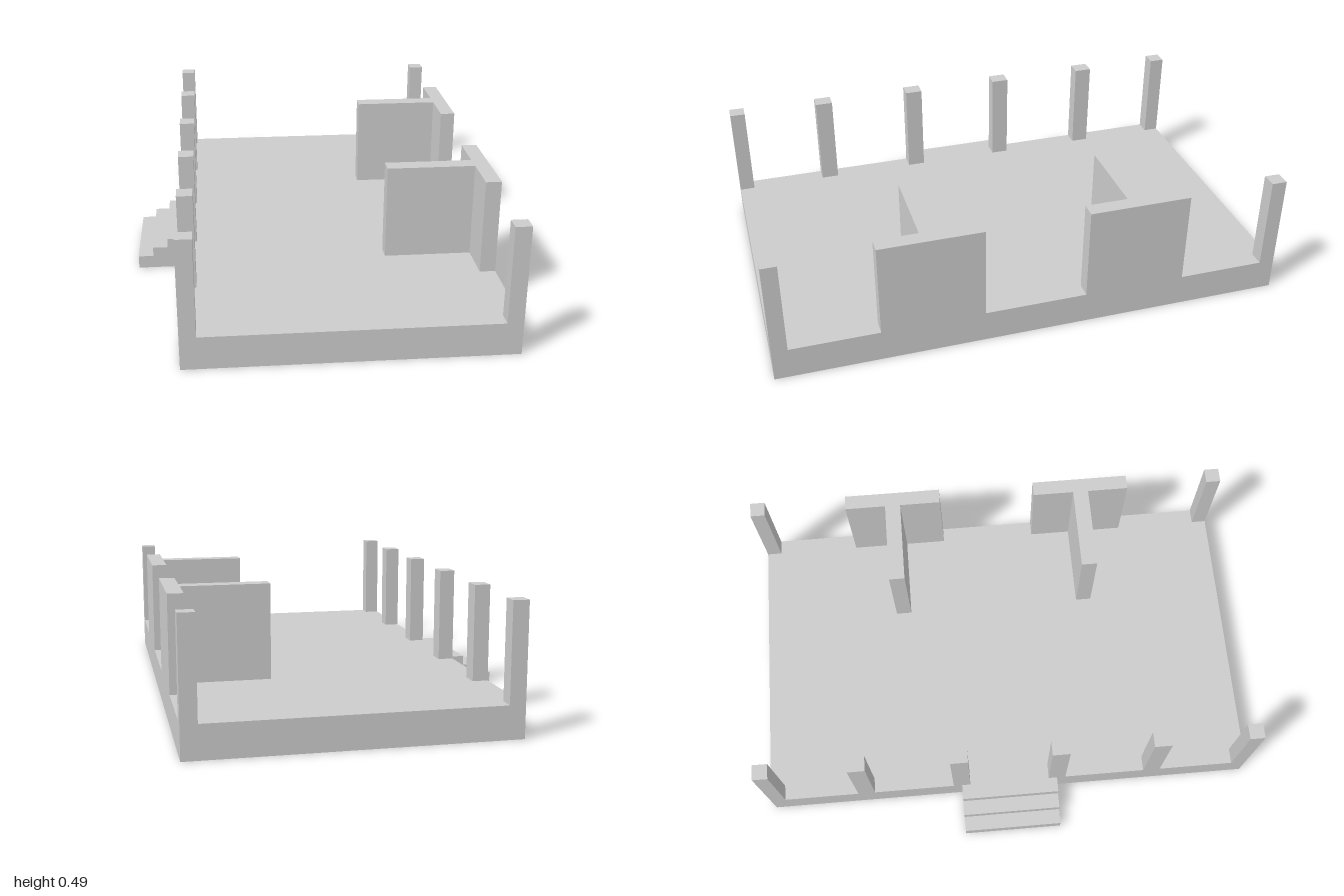
import * as THREE from 'three';

export function createModel() {
  const group = new THREE.Group();
  const material = new THREE.MeshStandardMaterial({ color: 0xcccccc });
  const floorY = 0.125, topY = 0.494;

  // Box given by its extents on each axis
  function block(name, x0, x1, y0, y1, z0, z1) {
    const mesh = new THREE.Mesh(new THREE.BoxGeometry(x1 - x0, y1 - y0, z1 - z0), material);
    mesh.position.set((x0 + x1) / 2, (y0 + y1) / 2, (z0 + z1) / 2);
    mesh.name = name;
    group.add(mesh);
  }

  block('platform', -0.51, 0.69, 0, floorY, -1, 1);

  for (const s of [-1, 1]) {
    // Row of posts along the entrance side, plus the far corner post
    for (const [z, half] of [[0.2, 0.035], [0.6, 0.035], [0.97, 0.03]]) {
      block('entrancePost', -0.51, -0.45, floorY, topY, s * z - half, s * z + half);
    }
    block('cornerPost', 0.63, 0.69, floorY, topY, s * 0.97 - 0.03, s * 0.97 + 0.03);

    // T-shaped wall: outer panel and inward partition
    block('outerWall', 0.63, 0.69, floorY, topY, s * 0.4 - 0.2, s * 0.4 + 0.2);
    block('partitionWall', 0.29, 0.63, floorY, topY, s * 0.4 - 0.032, s * 0.4 + 0.032);
  }

  // Solid entrance stairs, extruded from their stepped side profile
  const profile = new THREE.Shape([
    [-0.69, 0], [-0.51, 0], [-0.51, floorY], [-0.57, floorY],
    [-0.57, 0.088], [-0.63, 0.088], [-0.63, 0.051], [-0.69, 0.051],
  ].map(([x, y]) => new THREE.Vector2(x, y)));
  const stairs = new THREE.Mesh(
    new THREE.ExtrudeGeometry(profile, { depth: 0.4, bevelEnabled: false }), material);
  stairs.position.z = -0.2;
  stairs.name = 'entranceStairs';
  group.add(stairs);

  return group;
}
